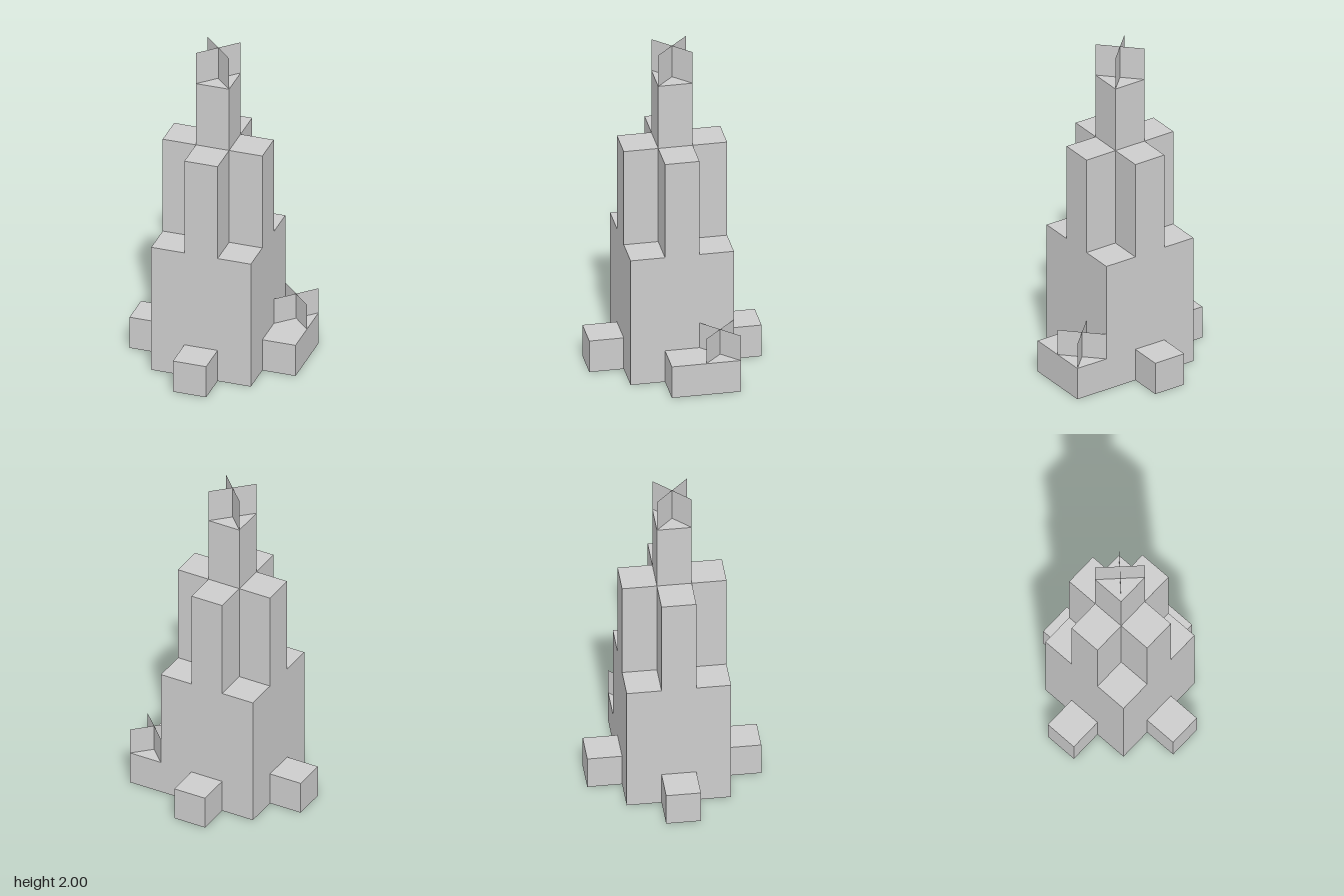
import * as THREE from 'three';
import { mergeGeometries } from 'three/addons/utils/BufferGeometryUtils.js';

const CELL = 0.2;

// Tower heights on a 5 x 5 plan: rows run back to front, columns -x to +x
const HEIGHTS = [
  [0.0, 0.0, 0.2, 0.0, 0.0],
  [0.0, 0.8, 1.4, 0.8, 0.2],
  [0.2, 1.4, 1.8, 1.4, 0.2],
  [0.0, 0.8, 1.4, 0.8, 0.0],
  [0.0, 0.0, 0.2, 0.0, 0.0],
];
const PARTS = { baseBlocks: 0.2, cornerShafts: 0.8, buttresses: 1.4, spire: 1.8 };
const SIDES = [[1, 0], [-1, 0], [0, 1], [0, -1]];

const heightAt = (col, row) => HEIGHTS[row]?.[col] ?? 0;

// Roof and exposed walls of one cell; the shell is hollow and open below
function cellFaces(col, row) {
  const h = heightAt(col, row);
  const x = (col - 2) * CELL, z = (row - 2) * CELL;
  const faces = [new THREE.PlaneGeometry(CELL, CELL).rotateX(-Math.PI / 2).translate(x, h, z)];
  for (const [dx, dz] of SIDES) {
    const low = heightAt(col + dx, row + dz);
    if (low >= h) continue;
    faces.push(new THREE.PlaneGeometry(CELL, h - low)
      .rotateY(Math.atan2(dx, dz))
      .translate(x + dx * CELL / 2, (h + low) / 2, z + dz * CELL / 2));
  }
  return faces;
}

// Two upright sheets crossing on the diagonals of a cell
function crossedSheets(x, y, z, h) {
  return mergeGeometries([1, -1].map(s =>
    new THREE.PlaneGeometry(CELL * Math.SQRT2, h)
      .rotateY(s * Math.PI / 4)
      .translate(x, y + h / 2, z)));
}

export function createModel() {
  const group = new THREE.Group();
  group.name = 'tower';
  const stone = new THREE.MeshStandardMaterial({ color: 0xcccccc, side: THREE.DoubleSide });
  stone.name = 'grey stone';

  const add = (name, geometry) => {
    const mesh = new THREE.Mesh(geometry, stone);
    mesh.name = name;
    group.add(mesh);
  };

  // Stepped tower, one mesh per tier
  for (const [name, h] of Object.entries(PARTS)) {
    const faces = [];
    HEIGHTS.forEach((line, row) => line.forEach((v, col) => {
      if (v === h) faces.push(...cellFaces(col, row));
    }));
    add(name, mergeGeometries(faces));
  }

  // Crossed sheets on the spire and on the side block
  add('spireFinial', crossedSheets(0, 1.8, 0, 0.2));
  add('sideBlockPlant', crossedSheets(0.4, 0.2, -0.2, 0.16));

  return group;
}
